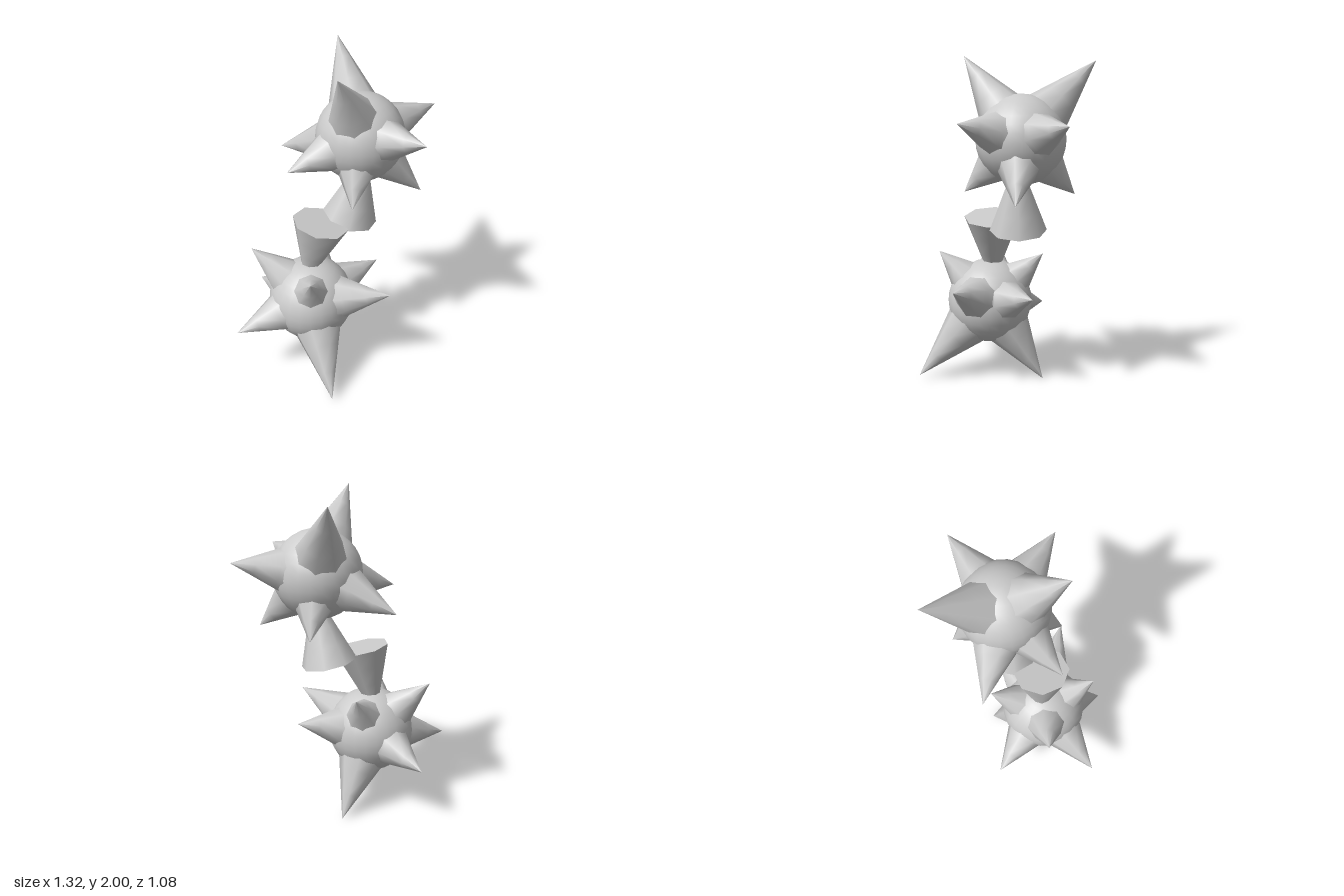
import * as THREE from 'three';

const UP = new THREE.Vector3(0, 1, 0);
const CORE = [0.17, 0.52, 0.04]; // core centre, measured from the model's middle
const CORE_RADIUS = 0.265;
const SPIKE_RADIUS = 0.222;

// Spike tips of the upper star, measured from the model's middle
const TIPS = [
  [-0.16, 1.0, 0.18],
  [0.39, 0.975, -0.37],
  [0.66, 0.62, 0.19],
  [0.165, 0.63, 0.54],
  [-0.02, 0.35, -0.45],
  [-0.305, 0.41, -0.08],
  [0.40, 0.18, 0.33],
  [-0.10, 0.21, 0.24],
  [0.39, 0.20, -0.19],
];

// Flared foot: narrow end hidden in the core, wide end open towards the other star
const FOOT_APEX = [0.182, 0.43, 0.08];
const FOOT_END = [0.117, -0.025, 0.005];
const FOOT_RADIUS = 0.172;

export function createModel() {
  const model = new THREE.Group();
  model.name = 'twinSpikyStars';
  const material = new THREE.MeshStandardMaterial({ color: 0xcccccc });

  // Eight-sided cone with its base centre and apex at the given points
  function cone(name, base, apex, radius) {
    const axis = apex.clone().sub(base);
    const height = axis.length();
    const geometry = new THREE.ConeGeometry(radius, height, 8, 4);
    geometry.translate(0, height / 2, 0);
    const mesh = new THREE.Mesh(geometry, material);
    mesh.name = name;
    mesh.position.copy(base);
    mesh.quaternion.setFromUnitVectors(UP, axis.normalize());
    return mesh;
  }

  // The lower star is the upper one reflected through the middle (sign -1)
  function star(name, sign) {
    const group = new THREE.Group();
    group.name = name;
    const at = (p) => new THREE.Vector3(...p).multiplyScalar(sign);
    const centre = at(CORE);

    const core = new THREE.Mesh(new THREE.SphereGeometry(CORE_RADIUS, 24, 16), material);
    core.name = 'core';
    core.position.copy(centre);
    group.add(core);

    TIPS.forEach((tip, i) => group.add(cone(`spike${i + 1}`, centre, at(tip), SPIKE_RADIUS)));
    group.add(cone('flaredFoot', at(FOOT_END), at(FOOT_APEX), FOOT_RADIUS));

    group.position.y = 1;
    return group;
  }

  model.add(star('upperStar', 1), star('lowerStar', -1));
  return model;
}
